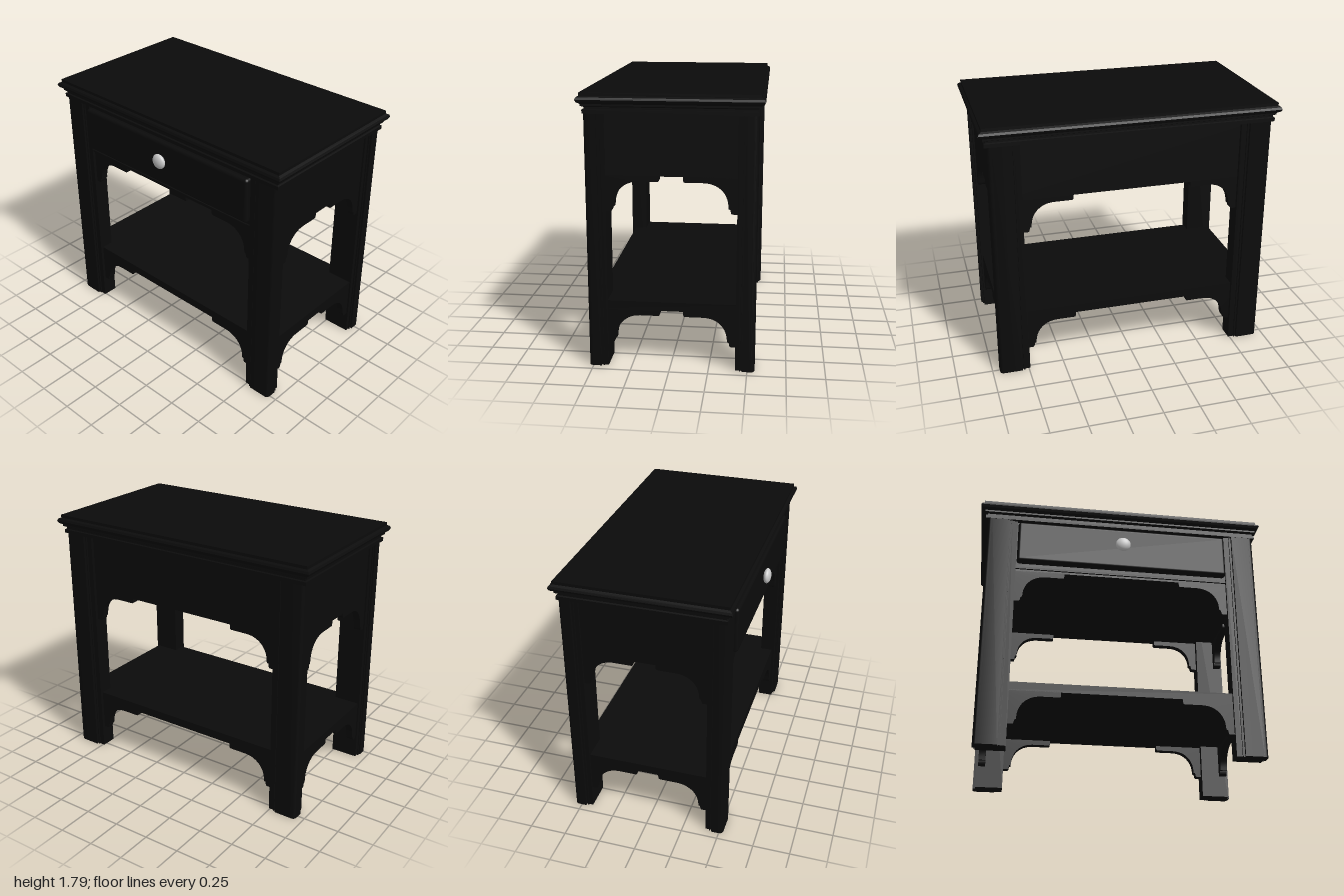
import * as THREE from 'three';
import { toCreasedNormals } from 'three/addons/utils/BufferGeometryUtils.js';
import { RoundedBoxGeometry } from 'three/addons/geometries/RoundedBoxGeometry.js';

const ZC = -0.01; // the table body sits slightly behind the knob
const black = new THREE.MeshStandardMaterial({ color: 0x0b0b0b });
const grey = new THREE.MeshStandardMaterial({ color: 0xcccccc });

export function createModel() {
  const model = new THREE.Group();

  const add = (name, geometry, x = 0, y = 0, z = 0, material = black, parent = model) => {
    const mesh = new THREE.Mesh(geometry, material);
    mesh.name = name;
    mesh.position.set(x, y, z);
    parent.add(mesh);
    return mesh;
  };
  const box = (name, w, y0, y1, d, z = ZC) =>
    add(name, new THREE.BoxGeometry(w, y1 - y0, d), 0, (y0 + y1) / 2, z);

  // Table top: a moulded edge, given as [inset, height], run round a rectangle
  const hx = 1, hz = 0.574;
  const edge = [[1, 1.66], [0.035, 1.66], [0.035, 1.684], [0.046, 1.688], [0.046, 1.7],
    [0.028, 1.708], [0.028, 1.72], [0.008, 1.732], [0, 1.748], [0.006, 1.762],
    [0.022, 1.77], [0.022, 1.79], [1, 1.79]];
  const top = new THREE.LatheGeometry(
    edge.map(([inset, y]) => new THREE.Vector2(1 - inset, y)), 4, Math.PI / 4).toNonIndexed();
  const p = top.attributes.position;
  for (let i = 0; i < p.count; i++) {
    const r = Math.hypot(p.getX(i), p.getZ(i));
    if (r < 1e-6) continue;
    p.setX(i, Math.sign(p.getX(i)) * (r - 1 + hx));
    p.setZ(i, Math.sign(p.getZ(i)) * (r - 1 + hz));
  }
  top.computeVertexNormals();
  add('tableTop', top, 0, 0, ZC);

  // Drawer case and lower shelf
  box('drawerCase', 1.84, 1.27, 1.67, 1.0);
  box('shelf', 1.84, 0.385, 0.445, 1.0);

  // Legs: rounded outer corner, a small groove and a recessed strip on the inner edges
  const legs = new THREE.Group();
  legs.name = 'legs';
  model.add(legs);
  const LX = 0.95, LZ = 0.5375, R = 0.03;
  for (const sx of [1, -1]) for (const sz of [1, -1]) {
    const s = new THREE.Shape();
    const pt = (a, b) => [sx * (LX - a), -sz * (LZ - b)];
    s.moveTo(...pt(R, 0));
    for (const [a, b] of [[0.155, 0], [0.155, 0.018], [0.163, 0.018], [0.163, 0.008],
      [0.172, 0.008], [0.172, 0.018], [0.21, 0.018], [0.21, 0.125], [0.018, 0.125],
      [0.018, 0.098], [0.008, 0.098], [0.008, 0.09], [0.018, 0.09], [0.018, 0.08],
      [0, 0.08], [0, R]]) s.lineTo(...pt(a, b));
    s.quadraticCurveTo(...pt(0, 0), ...pt(R, 0));
    const g = new THREE.ExtrudeGeometry(s, { depth: 1.67, bevelEnabled: false, curveSegments: 6 });
    g.rotateX(-Math.PI / 2);
    add('leg', toCreasedNormals(g, 0.6), 0, 0, ZC, black, legs);
  }

  // Arched corner brackets below the case and below the shelf
  const T = 0.05;
  const bracketGeometry = (half, side) => {
    const s = new THREE.Shape();
    const pt = (a, y) => [side * (half - a), y];
    s.moveTo(...pt(-0.06, 0.005));
    s.lineTo(...pt(-0.06, -0.23));
    s.lineTo(...pt(0.032, -0.23));
    s.quadraticCurveTo(...pt(0.041, -0.228), ...pt(0.043, -0.2));
    s.lineTo(...pt(0.054, -0.198));
    s.lineTo(...pt(0.056, -0.175));
    s.bezierCurveTo(...pt(0.062, -0.09), ...pt(0.125, -0.035), ...pt(0.21, -0.035));
    s.lineTo(...pt(0.325, -0.035));
    s.quadraticCurveTo(...pt(0.337, -0.035), ...pt(0.337, -0.02));
    s.lineTo(...pt(0.337, 0.005));
    const g = new THREE.ExtrudeGeometry(s, { depth: T, bevelEnabled: false, curveSegments: 12 });
    return toCreasedNormals(g.translate(0, 0, -T / 2), 0.6);
  };
  for (const [level, y] of [['case', 1.27], ['shelf', 0.385]]) {
    const group = new THREE.Group();
    group.name = level + 'Brackets';
    model.add(group);
    for (const side of [1, -1]) for (const face of [1, -1]) {
      add('longBracket', bracketGeometry(0.74, side), 0, y, ZC + face * (0.5 - T / 2), black, group);
      add('endBracket', bracketGeometry(0.4125, side), face * (0.92 - T / 2), y, ZC, black, group)
        .rotation.y = Math.PI / 2;
    }
  }

  // Drawer front with a bead below it
  add('drawerFront', new RoundedBoxGeometry(1.47, 0.31, 0.1, 4, 0.02), 0, 1.485, 0.49);
  box('drawerRailBead', 1.48, 1.285, 1.3, 0.015, 0.495);

  // Round knob on a short stem
  const knob = new THREE.Group();
  knob.name = 'knob';
  knob.position.set(0, 1.505, 0.56);
  model.add(knob);
  add('knobHead', new THREE.SphereGeometry(0.052, 32, 20), 0, 0, 0, grey, knob).scale.z = 0.5;
  add('knobStem', new THREE.CylinderGeometry(0.02, 0.025, 0.04, 20), 0, 0, -0.02, grey, knob)
    .rotation.x = Math.PI / 2;

  return model;
}
